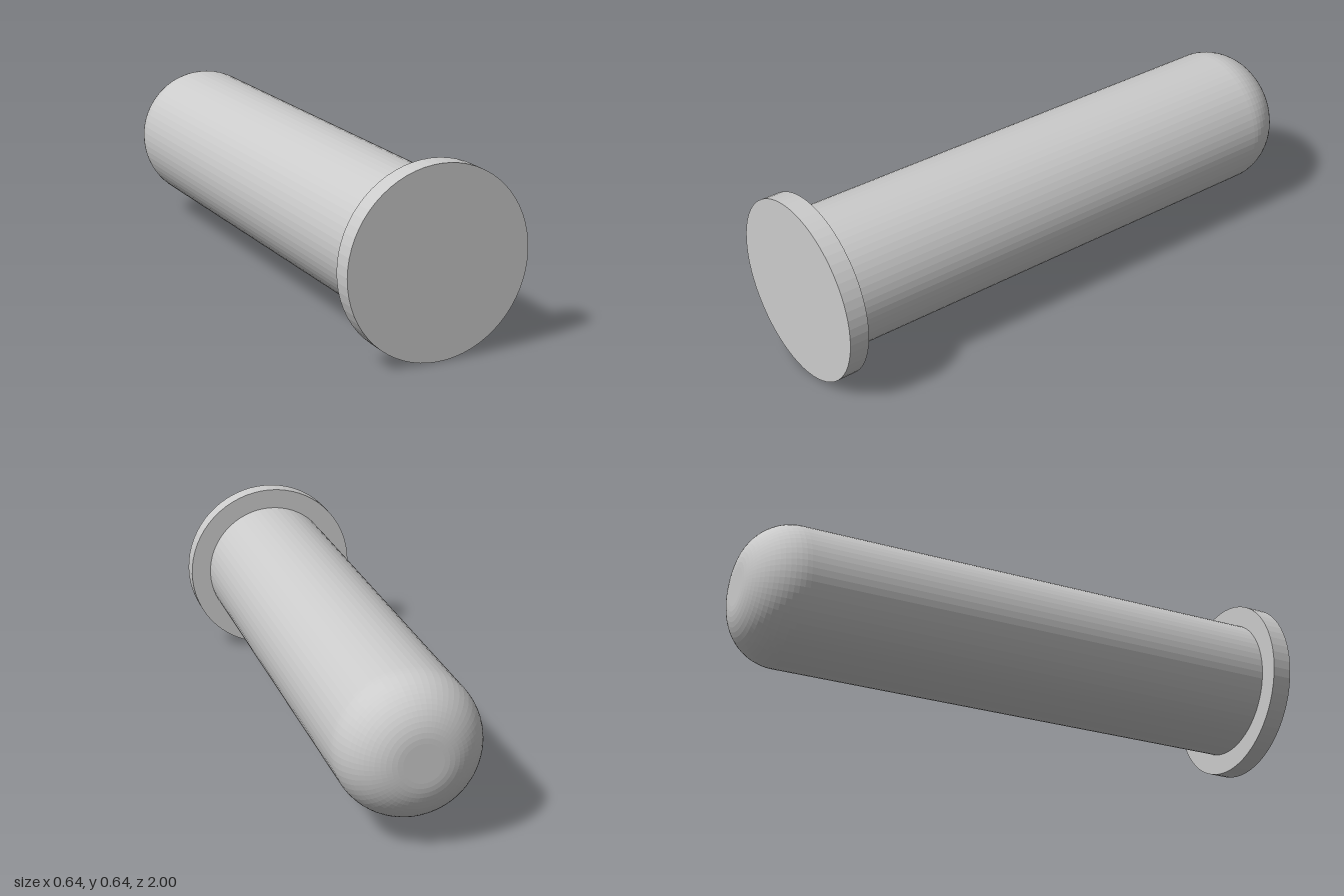
import * as THREE from 'three';

const SEGMENTS = 64;
const FLANGE_RADIUS = 0.321;
const FLANGE_DEPTH = 0.07;
const PIN_RADIUS = 0.247;
const FILLET = 0.18;

export function createModel() {
  const model = new THREE.Group();
  model.name = 'flangedPin';
  const material = new THREE.MeshStandardMaterial({ color: 0xcccccc, flatShading: true });

  // Lays a part built along +y down so it points backwards (-z)
  const addPart = (name, geometry, z) => {
    const mesh = new THREE.Mesh(geometry, material);
    mesh.name = name;
    mesh.rotation.x = -Math.PI / 2;
    mesh.position.set(0, FLANGE_RADIUS, z);
    model.add(mesh);
  };

  // Flat round head at the front
  addPart(
    'flange',
    new THREE.CylinderGeometry(FLANGE_RADIUS, FLANGE_RADIUS, FLANGE_DEPTH, SEGMENTS),
    1 - FLANGE_DEPTH / 2
  );

  // Long shaft whose far end is rounded into a small flat tip
  const length = 2 - FLANGE_DEPTH;
  const profile = [new THREE.Vector2(PIN_RADIUS, 0)];
  const steps = 16;
  for (let i = 0; i <= steps; i++) {
    const a = (i / steps) * Math.PI / 2;
    profile.push(new THREE.Vector2(
      PIN_RADIUS - FILLET + FILLET * Math.cos(a),
      length - FILLET + FILLET * Math.sin(a)
    ));
  }
  profile.push(new THREE.Vector2(0, length));
  addPart('shaft', new THREE.LatheGeometry(profile, SEGMENTS), 1 - FLANGE_DEPTH);

  return model;
}
